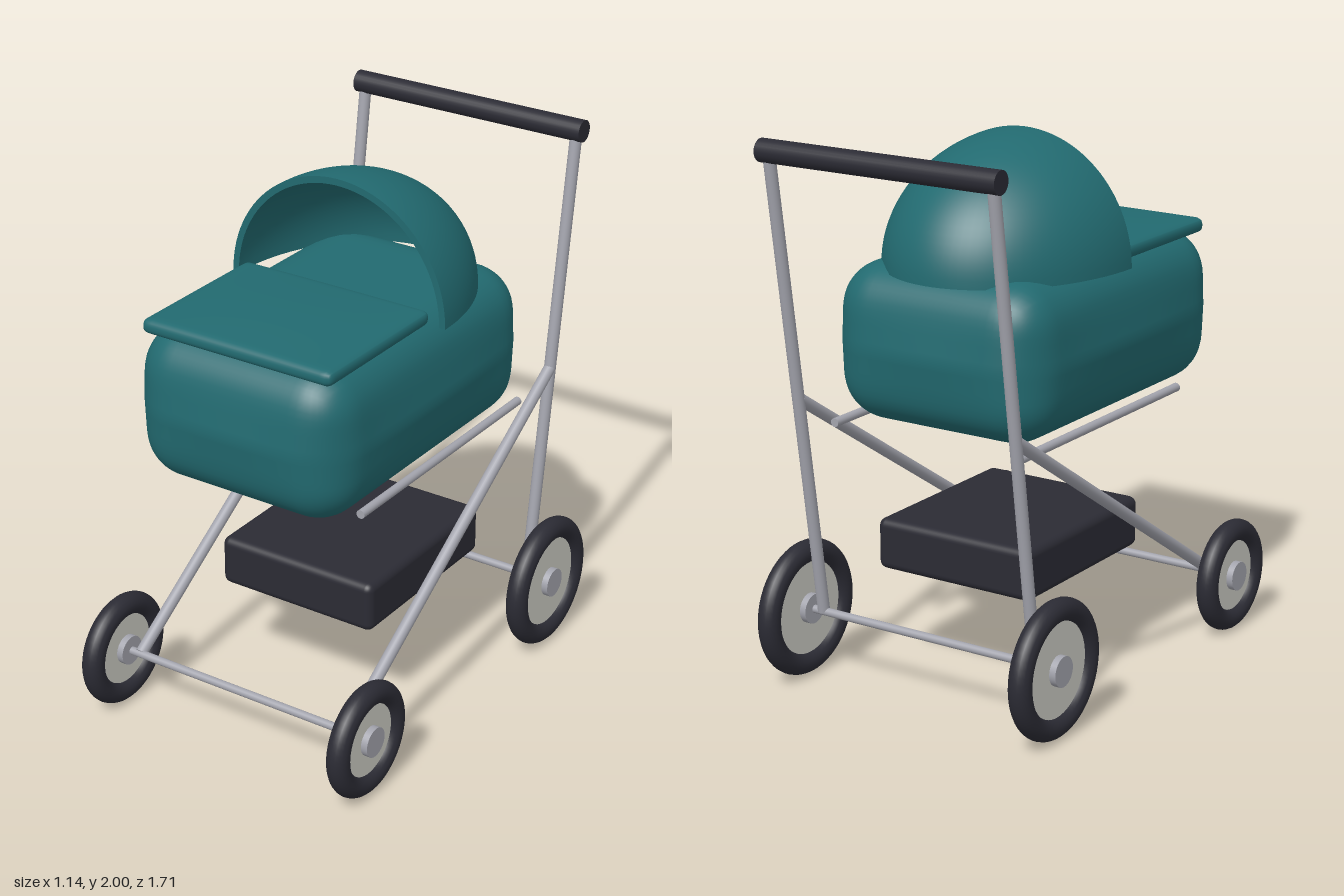
import * as THREE from 'three';
import { mergeVertices } from 'three/addons/utils/BufferGeometryUtils.js';
import { RoundedBoxGeometry } from 'three/addons/geometries/RoundedBoxGeometry.js';

const material = (name, color, side = THREE.FrontSide) => {
  const m = new THREE.MeshStandardMaterial({ color, side });
  m.name = name;
  return m;
};

// Rounded box on a fine grid, reshaped by a rule and smoothed over its seams
function softBox(half, radius, segments, rule) {
  const g = new THREE.BoxGeometry(half.x * 2, half.y * 2, half.z * 2, ...segments);
  const inner = half.clone().subScalar(radius);
  const low = inner.clone().negate();
  const pos = g.attributes.position;
  const p = new THREE.Vector3(), core = new THREE.Vector3();
  for (let i = 0; i < pos.count; i++) {
    p.fromBufferAttribute(pos, i);
    core.copy(p).clamp(low, inner);
    p.sub(core).setLength(radius).add(core);
    rule(p);
    pos.setXYZ(i, p.x, p.y, p.z);
  }
  g.deleteAttribute('normal');
  g.deleteAttribute('uv');
  const smooth = mergeVertices(g);
  smooth.computeVertexNormals();
  return smooth;
}

export function createModel() {
  const model = new THREE.Group();
  model.name = 'babyCarriage';
  const fabric = material('teal fabric', 0x226a70);
  const rubber = material('dark rubber', 0x2b2b34);
  const metal = material('silver metal', 0xa3a4ad);
  const rim = material('cream rim', 0xcbcbc3);

  const add = (name, geometry, mat, x = 0, y = 0, z = 0, parent = model) => {
    const mesh = new THREE.Mesh(geometry, mat);
    mesh.name = name;
    mesh.position.set(x, y, z);
    parent.add(mesh);
    return mesh;
  };

  // Straight round bar between two points
  const bar = (name, from, to, radius, mat = metal) => {
    const a = new THREE.Vector3(...from), b = new THREE.Vector3(...to);
    const d = b.clone().sub(a);
    const mesh = add(name, new THREE.CylinderGeometry(radius, radius, d.length(), 24), mat);
    mesh.position.copy(a).add(b).multiplyScalar(0.5);
    mesh.quaternion.setFromUnitVectors(new THREE.Vector3(0, 1, 0), d.normalize());
    return mesh;
  };

  // Carrycot body, bulging to a ridge at mid height
  const half = new THREE.Vector3(0.427, 0.285, 0.632);
  const body = softBox(half, 0.17, [28, 20, 36], (p) => {
    const ridge = Math.max(0, 1 - Math.abs(p.y) / 0.14);
    const nx = p.x / half.x, nz = p.z / half.z;
    p.x *= 1 + 0.05 * ridge * (1 - nz * nz);
    p.z *= 1 + 0.032 * ridge * (1 - nx * nx);
  });
  add('carrycotBody', body, fabric, 0, 1.25, 0.067);

  // Cover over the foot end, slightly crowned
  const coverHalf = new THREE.Vector3(0.387, 0.028, 0.305);
  const cover = softBox(coverHalf, 0.025, [36, 8, 36], (p) => {
    if (p.y > 0) p.y += 0.013 * (1 - (p.x / 0.387) ** 2) * (1 - (p.z / 0.305) ** 2);
  });
  add('footCover', cover, fabric, 0, 1.537, 0.35);

  // Hood: quarter ellipsoid shell with its lower and front edges
  const hood = new THREE.Group();
  hood.name = 'hood';
  hood.position.set(0, 1.505, 0.045);
  hood.scale.set(0.445, 0.45, 0.598);
  model.add(hood);
  const innerRadius = 0.945;
  const arc = (r) => Array.from({ length: 25 }, (_, i) => {
    const a = (i / 24) * Math.PI / 2;
    return new THREE.Vector2(r * Math.cos(a), r * Math.sin(a));
  });
  const turn = (points) => new THREE.LatheGeometry(points, 48, Math.PI / 2, Math.PI);
  add('hoodOuter', turn(arc(1)), fabric, 0, 0, 0, hood);
  add('hoodLining', turn(arc(innerRadius).reverse()), fabric, 0, 0, 0, hood);
  add('hoodLowerEdge', turn([new THREE.Vector2(innerRadius, 0), new THREE.Vector2(1, 0)]), fabric, 0, 0, 0, hood);
  add('hoodFrontEdge', new THREE.RingGeometry(innerRadius, 1, 48, 1, 0, Math.PI), fabric, 0, 0, 0, hood);

  // Storage basket
  add('basket', new RoundedBoxGeometry(0.65, 0.19, 0.73, 4, 0.03), rubber, 0, 0.485, -0.05);

  // Side frames and carrycot rails
  for (const s of [1, -1]) {
    const side = s > 0 ? 'left' : 'right';
    bar(side + 'HandleBar', [s * 0.45, 0.25, -0.57], [s * 0.45, 1.96, -0.813], 0.022);
    bar(side + 'FrontLeg', [s * 0.45, 0.213, 0.645], [s * 0.45, 1.07, -0.683], 0.022);
    bar(side + 'CarrycotRail', [s * 0.385, 0.965, 0.47], [s * 0.385, 0.965, -0.57], 0.016);
  }
  bar('handleGrip', [-0.48, 1.96, -0.813], [0.48, 1.96, -0.813], 0.041, rubber);

  // Axles and wheels
  const axles = [
    { name: 'front', radius: 0.212, z: 0.648 },
    { name: 'rear', radius: 0.25, z: -0.572 },
  ];
  const tube = 0.041;
  for (const { name, radius, z } of axles) {
    bar(name + 'Axle', [-0.53, radius, z], [0.53, radius, z], 0.015);
    for (const s of [1, -1]) {
      const wheel = new THREE.Group();
      wheel.name = name + (s > 0 ? 'Left' : 'Right') + 'Wheel';
      wheel.position.set(s * 0.53, radius, z);
      wheel.rotation.y = Math.PI / 2;
      model.add(wheel);
      add('tire', new THREE.TorusGeometry(radius - tube, tube, 20, 56), rubber, 0, 0, 0, wheel);
      const disc = new THREE.CylinderGeometry(radius - tube, radius - tube, 0.03, 48);
      add('wheelDisc', disc.rotateX(Math.PI / 2), rim, 0, 0, 0, wheel);
      const hub = new THREE.CylinderGeometry(0.055, 0.055, 0.08, 28);
      add('hub', hub.rotateX(Math.PI / 2), metal, 0, 0, 0, wheel);
    }
  }
  return model;
}
